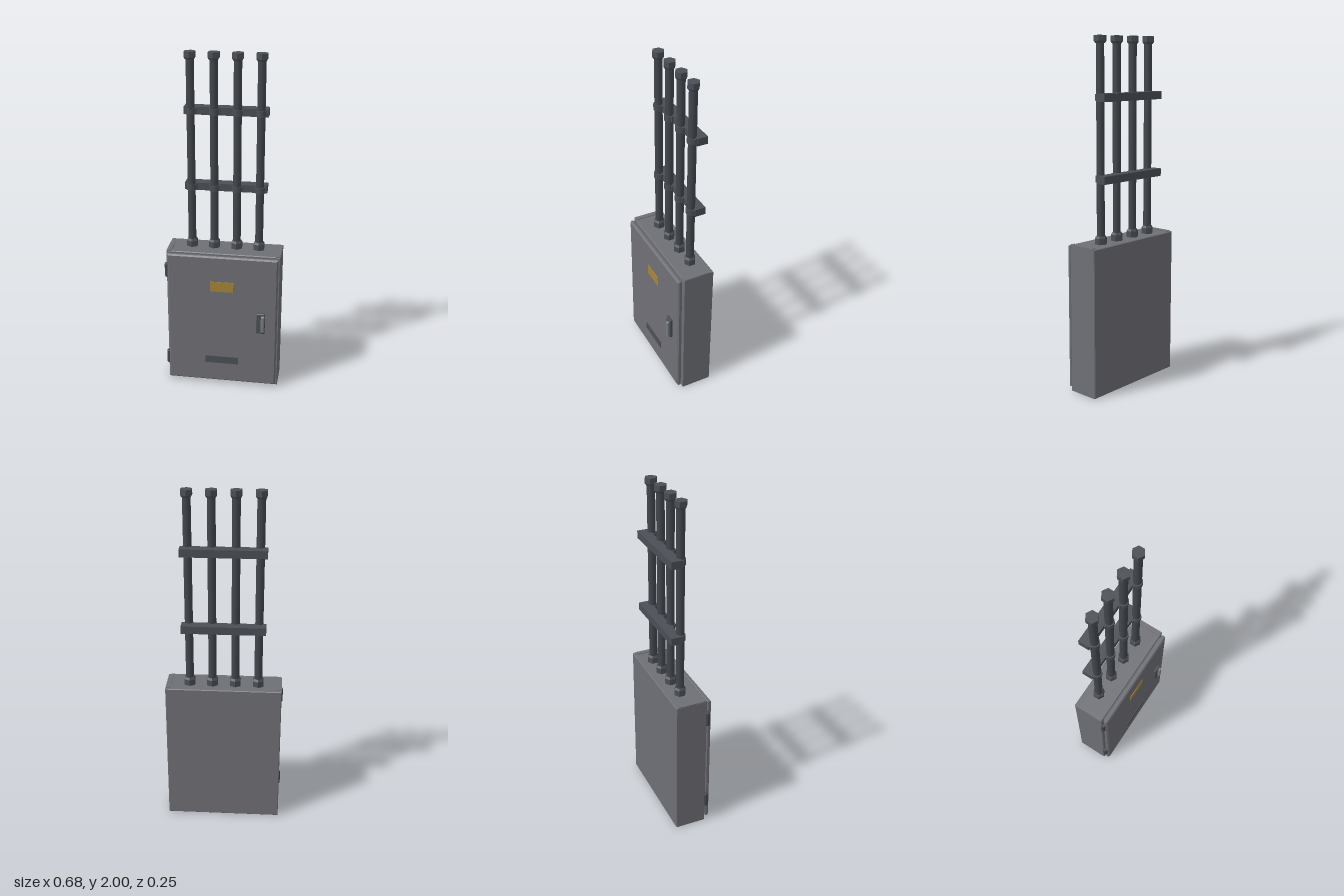
import * as THREE from 'three';

const flat = (name, color) => {
  const m = new THREE.MeshStandardMaterial({ color });
  m.name = name;
  return m;
};

export function createModel() {
  const paint = flat('cabinetGrey', 0x6f7076);
  const dark = flat('darkSteel', 0x4b4f55);
  const pipe = flat('conduitSteel', 0x42474d);
  const bright = flat('gripSteel', 0x7b7d81);
  const yellow = flat('labelYellow', 0xa8853a);

  const root = new THREE.Group();
  root.name = 'electricalCabinet';

  const add = (parent, name, geometry, material, x = 0, y = 0, z = 0) => {
    const mesh = new THREE.Mesh(geometry, material);
    mesh.name = name;
    mesh.position.set(x, y, z);
    parent.add(mesh);
    return mesh;
  };

  // Box given by its limits
  const box = (parent, name, material, [x0, x1], [y0, y1], [z0, z1]) =>
    add(parent, name, new THREE.BoxGeometry(x1 - x0, y1 - y0, z1 - z0), material,
      (x0 + x1) / 2, (y0 + y1) / 2, (z0 + z1) / 2);

  // Box with chamfered edges, given by its limits
  const bevelBox = (parent, name, material, [x0, x1], [y0, y1], [z0, z1], b) => {
    const w = (x1 - x0) / 2 - b, h = (y1 - y0) / 2 - b;
    const shape = new THREE.Shape([
      new THREE.Vector2(-w, -h), new THREE.Vector2(w, -h),
      new THREE.Vector2(w, h), new THREE.Vector2(-w, h),
    ]);
    const geometry = new THREE.ExtrudeGeometry(shape, {
      depth: z1 - z0 - 2 * b, bevelEnabled: true, bevelSize: b, bevelThickness: b, bevelSegments: 1,
    });
    return add(parent, name, geometry, material, (x0 + x1) / 2, (y0 + y1) / 2, z0 + b);
  };

  // Lathe with flat sides, each facet shaded separately
  const faceted = (points, sides) => {
    const geometry = new THREE.LatheGeometry(points.map(p => new THREE.Vector2(...p)), sides).toNonIndexed();
    geometry.computeVertexNormals();
    return geometry;
  };

  // Cabinet body, raised side rims and recessed door seal
  bevelBox(root, 'body', paint, [-0.33, 0.339], [0, 0.858], [-0.127, 0.06], 0.004);
  for (const [x0, x1] of [[-0.328, -0.3], [0.309, 0.337]])
    box(root, 'topRim', paint, [x0, x1], [0.85, 0.862], [-0.109, 0.058]);
  box(root, 'doorSeal', paint, [-0.3, 0.309], [0.03, 0.84], [0.055, 0.068]);

  // Door with chamfered edge
  const door = new THREE.Group();
  door.name = 'door';
  root.add(door);
  bevelBox(door, 'doorPanel', paint, [-0.32, 0.329], [0.019, 0.85], [0.064, 0.092], 0.008);
  box(door, 'warningLabel', yellow, [-0.066, 0.071], [0.63, 0.692], [0.09, 0.095]);
  box(door, 'namePlate', dark, [-0.098, 0.103], [0.145, 0.19], [0.09, 0.096]);

  // Handle
  bevelBox(door, 'handleBase', dark, [0.21, 0.26], [0.377, 0.509], [0.09, 0.11], 0.004);
  bevelBox(door, 'handleGrip', bright, [0.238, 0.258], [0.392, 0.496], [0.106, 0.125], 0.004);

  // Hinges
  for (const y of [0.153, 0.74]) {
    const h = 0.044;
    add(root, 'hinge', faceted([[0, -h], [0.011, -h], [0.0145, -h + 0.006],
      [0.0145, h - 0.006], [0.011, h], [0, h]], 10), pipe, -0.325, y, 0.068);
  }

  // Conduits with hexagonal fittings
  const pipeZ = -0.046;
  const pipeXs = [-0.193, -0.061, 0.071, 0.202];
  const railYs = [1.225, 1.67];
  const tube = new THREE.CylinderGeometry(0.023, 0.023, 1.12, 12);
  const lowerNut = faceted([[0, 0], [0.035, 0], [0.035, 0.036], [0.027, 0.048], [0, 0.048]], 6);
  const upperNut = faceted([[0, 0], [0.027, 0], [0.035, 0.012], [0.035, 0.043], [0, 0.043]], 6);
  const band = new THREE.CylinderGeometry(0.029, 0.029, 0.034, 12);
  for (const x of pipeXs) {
    const conduit = new THREE.Group();
    conduit.name = 'conduit';
    conduit.position.set(x, 0, pipeZ);
    root.add(conduit);
    add(conduit, 'conduitPipe', tube, pipe, 0, 1.425, 0);
    add(conduit, 'lowerFitting', lowerNut, dark, 0, 0.857, 0);
    add(conduit, 'upperFitting', upperNut, dark, 0, 1.957, 0);
    // Clamp bands with ears resting on the rails
    for (const y of railYs) {
      add(conduit, 'clampBand', band, dark, 0, y, 0);
      box(conduit, 'clampEars', dark, [-0.035, 0.035], [y - 0.017, y + 0.017], [-0.008, 0.003]);
    }
  }

  // Support rails behind the conduits
  for (const y of railYs)
    box(root, 'supportRail', dark, [-0.233, 0.242], [y - 0.022, y + 0.022], [-0.115, -0.053]);

  return root;
}
